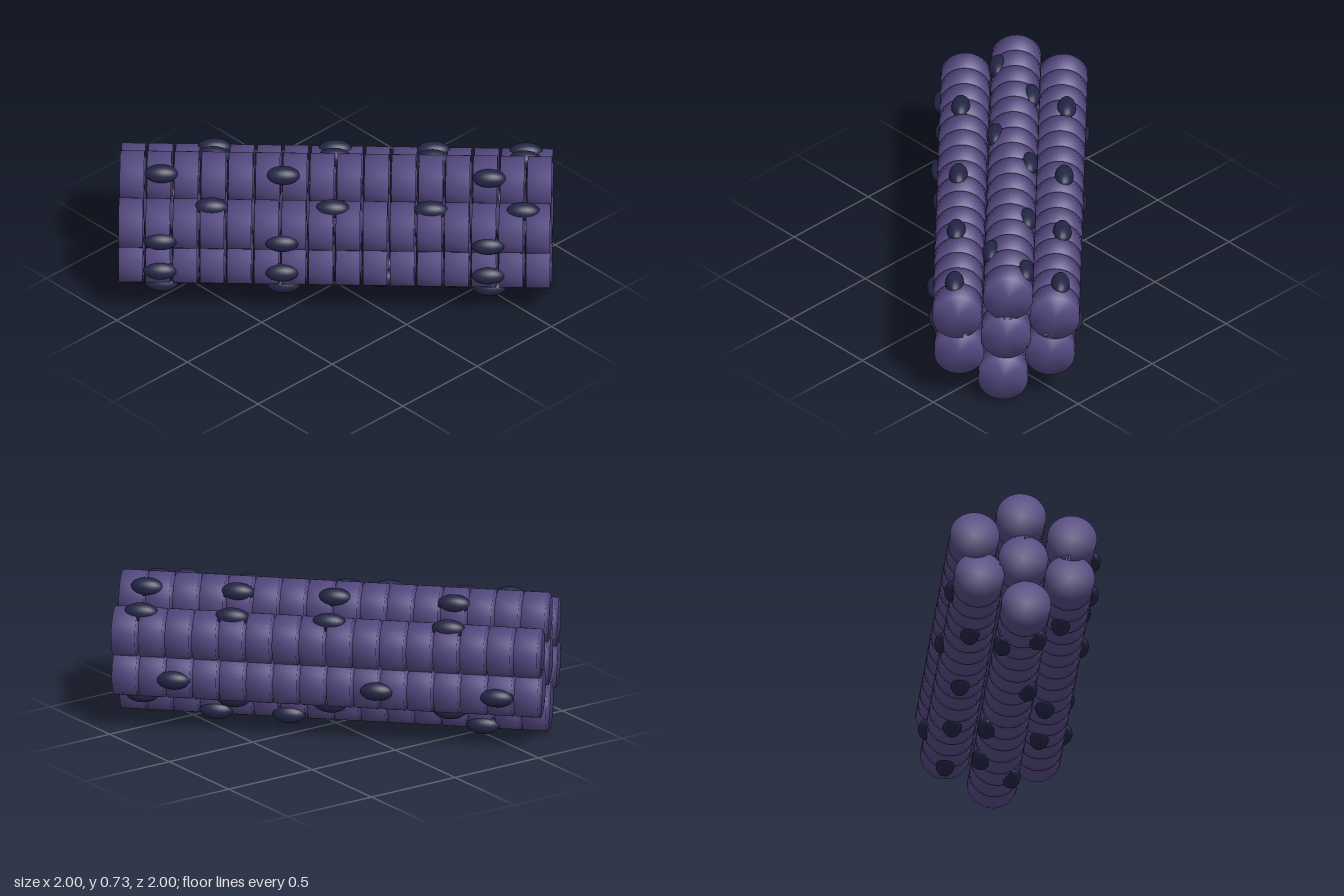
import * as THREE from 'three';
import { mergeVertices } from 'three/addons/utils/BufferGeometryUtils.js';

const LENGTH = 2.107, DISCS = 16, THICK = 0.118, RADIUS = 0.122;

// Knob stations along the bundle
const A = [0.92, 0.47, -0.01, -0.6];
const B = [0.75, -0.255, -0.85];
const C = [0.58, 0.22, -0.74];

// Each rod: centre across (z) and up (y); knobs: [across, up, stations] from the rod centre
const RODS = [
  { name: 'coreRod', z: 0, y: 0.385, knobs: [] },
  { name: 'topRod', z: -0.01, y: 0.611, knobs: [[-0.08, 0.07, A], [0.085, 0.07, B]] },
  { name: 'upperLeftRod', z: 0.238, y: 0.501, knobs: [[0.015, 0.11, A], [0.11, -0.03, B]] },
  { name: 'upperRightRod', z: -0.238, y: 0.501, knobs: [[-0.025, 0.11, A]] },
  { name: 'lowerLeftRod', z: 0.228, y: 0.29, knobs: [[0.11, 0, B], [-0.02, -0.11, C]] },
  { name: 'lowerRightRod', z: -0.215, y: 0.29, knobs: [[-0.11, 0, B], [-0.01, -0.11, A]] },
  { name: 'bottomRod', z: 0.014, y: 0.141, knobs: [[0.07, -0.093, B], [-0.09, -0.08, C]] },
];

// Disc lying along x, with normals blended over the rim for a soft look
function discGeometry() {
  const g = new THREE.CylinderGeometry(RADIUS, RADIUS, THICK, 40);
  g.rotateZ(Math.PI / 2);
  g.deleteAttribute('uv');
  g.deleteAttribute('normal');
  const merged = mergeVertices(g);
  merged.computeVertexNormals();
  return merged;
}

export function createModel() {
  const model = new THREE.Group();
  const bundle = new THREE.Group();
  bundle.name = 'rodBundle';
  bundle.rotation.y = Math.PI / 4;
  model.add(bundle);

  const discMat = new THREE.MeshStandardMaterial({ color: 0x554a82 });
  const knobMat = new THREE.MeshStandardMaterial({ color: 0x232545 });
  const disc = discGeometry();
  const knob = new THREE.SphereGeometry(1, 20, 14).scale(0.083, 0.046, 0.046);
  const pitch = (LENGTH - THICK) / (DISCS - 1);

  for (const { name, z, y, knobs } of RODS) {
    const rod = new THREE.Group();
    rod.name = name;
    rod.position.set(0, y, z);
    bundle.add(rod);

    // Row of separate discs
    for (let i = 0; i < DISCS; i++) {
      const m = new THREE.Mesh(disc, discMat);
      m.name = 'disc';
      m.position.x = (i - (DISCS - 1) / 2) * pitch;
      rod.add(m);
    }

    // Oval knobs half sunk in the rod surface
    for (const [across, up, stations] of knobs) {
      for (const x of stations) {
        const m = new THREE.Mesh(knob, knobMat);
        m.name = 'knob';
        m.position.set(x, up, across);
        rod.add(m);
      }
    }
  }
  return model;
}
